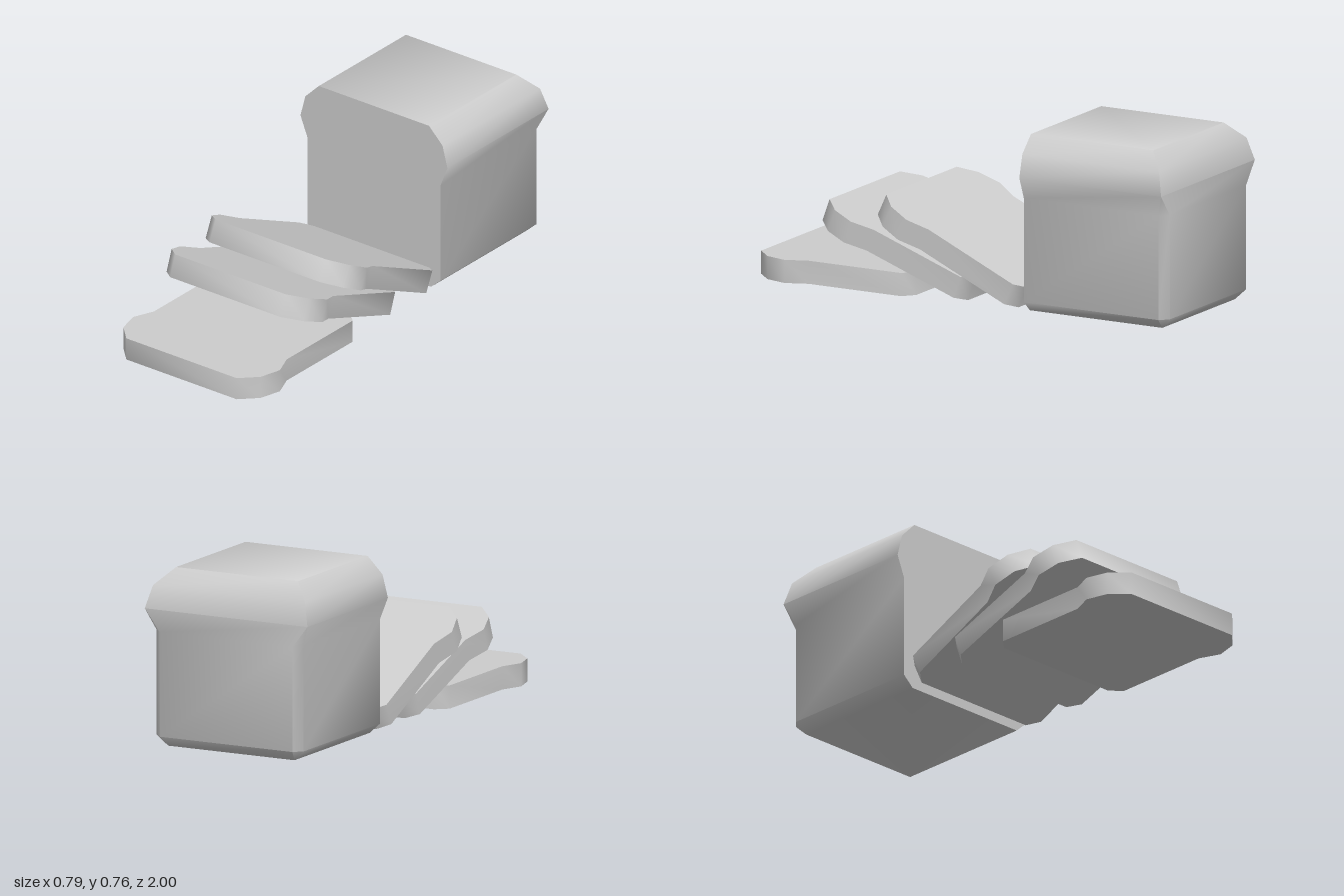
import * as THREE from 'three';
import { toCreasedNormals } from 'three/addons/utils/BufferGeometryUtils.js';

const CREASE = THREE.MathUtils.degToRad(52);

// Half outline of the bread: [half width, height]
const OUTLINE = [
  [0.305, 0], [0.355, 0.045], [0.355, 0.495],
  [0.393, 0.59], [0.367, 0.688], [0.295, 0.76],
];

// Loaf: horizontal rings stacked upward, flat at the cut front, bevelled behind
function loafGeometry() {
  const front = -0.31;
  const back = [-0.955, -1, -1, -1, -0.975, -0.905];
  const corner = [0, 0.035, 0.035, 0, 0, 0];
  const rings = OUTLINE.map(([w, y], i) => {
    const b = back[i], c = corner[i];
    return [[-w, front], [-w, b + c], [-w + c, b], [w - c, b], [w, b + c], [w, front]]
      .map(([x, z]) => new THREE.Vector3(x, y, z));
  });
  const positions = [];
  const tri = (a, b, c) => {
    if (new THREE.Triangle(a, b, c).getArea() < 1e-8) return;
    for (const p of [a, b, c]) positions.push(p.x, p.y, p.z);
  };
  for (let r = 0; r < rings.length - 1; r++) {
    const lo = rings[r], hi = rings[r + 1];
    for (let i = 0; i < 6; i++) {
      const j = (i + 1) % 6;
      tri(lo[i], hi[i], lo[j]);
      tri(lo[j], hi[i], hi[j]);
    }
  }
  // Bottom and top
  const bottom = rings[0], top = rings[rings.length - 1];
  for (let i = 1; i < 5; i++) {
    tri(bottom[0], bottom[i], bottom[i + 1]);
    tri(top[0], top[i + 1], top[i]);
  }
  const geometry = new THREE.BufferGeometry();
  geometry.setAttribute('position', new THREE.Float32BufferAttribute(positions, 3));
  return toCreasedNormals(geometry, CREASE);
}

// Slice: the bread outline extruded, with its bottom edge at the origin
function sliceGeometry() {
  const right = OUTLINE.map(([x, y]) => new THREE.Vector2(x, y));
  const left = OUTLINE.map(([x, y]) => new THREE.Vector2(-x, y)).reverse();
  const geometry = new THREE.ExtrudeGeometry(new THREE.Shape([...right, ...left]), {
    depth: 0.1, bevelEnabled: false,
  });
  geometry.translate(0, 0, -0.1);
  return toCreasedNormals(geometry, CREASE);
}

export function createModel() {
  const bread = new THREE.MeshStandardMaterial({ color: 0xcccccc });
  bread.name = 'bread grey';

  const model = new THREE.Group();
  model.name = 'slicedBread';

  const loaf = new THREE.Mesh(loafGeometry(), bread);
  loaf.name = 'loaf';
  model.add(loaf);

  // Fallen slices, each leaning on the one in front: [tilt in degrees, y, z]
  const slice = sliceGeometry();
  [[0, 0, 0.243], [20, 0.008, -0.01], [24.7, 0.006, -0.255]].forEach(([tilt, y, z], i) => {
    const mesh = new THREE.Mesh(slice, bread);
    mesh.name = `slice${i + 1}`;
    mesh.rotation.x = THREE.MathUtils.degToRad(90 - tilt);
    mesh.position.set(0, y, z);
    model.add(mesh);
  });

  return model;
}
